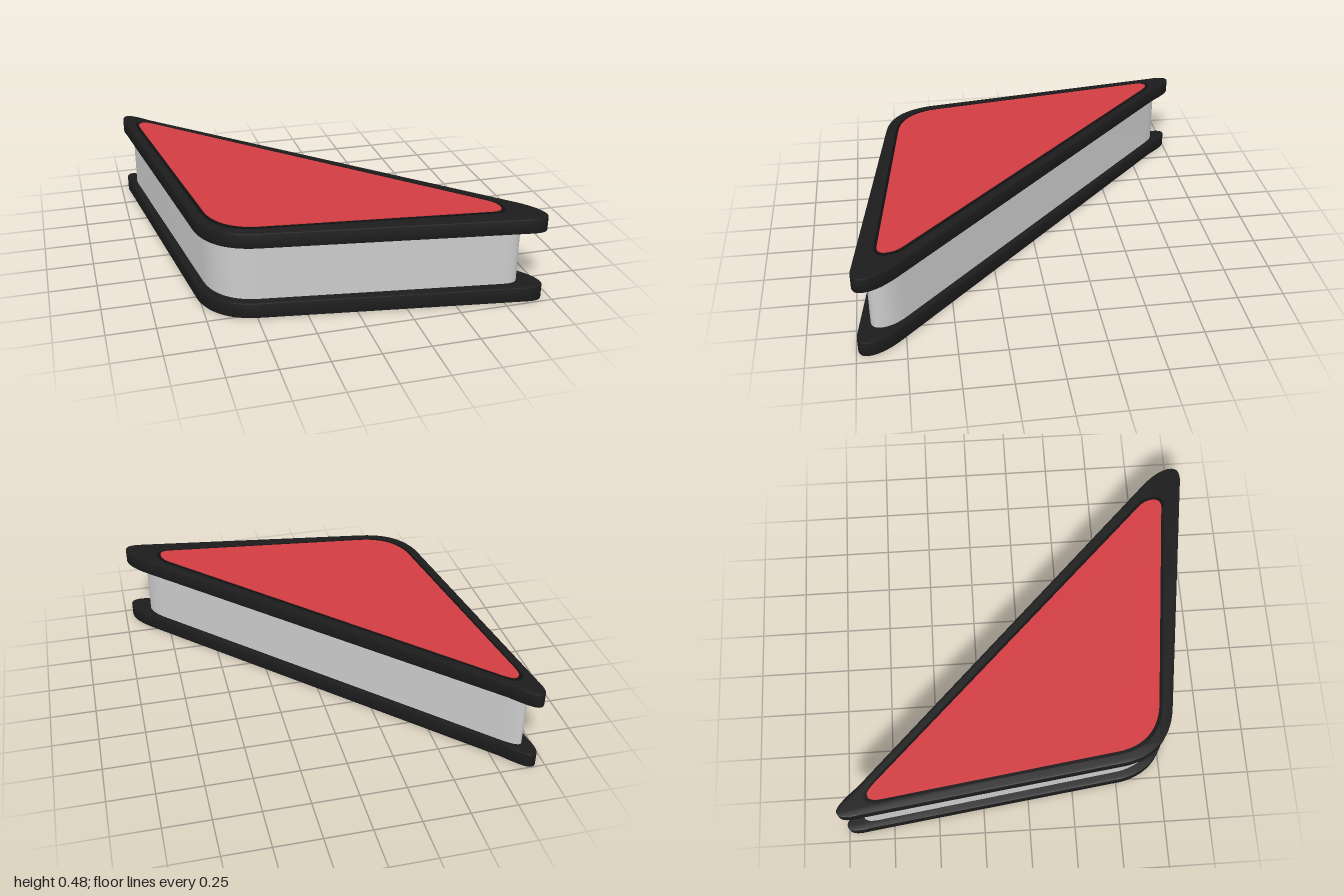
import * as THREE from 'three';
import { toCreasedNormals } from 'three/addons/utils/BufferGeometryUtils.js';

// Rounded triangle outline: [startX, startZ] then quadratic corners joined by straight sides
function outline(corners) {
  const s = new THREE.Shape();
  corners.forEach((c, i) => {
    if (i === 0) s.moveTo(c[0][0], -c[0][1]);
    else s.lineTo(c[0][0], -c[0][1]);
    for (let k = 1; k < c.length; k += 2) {
      s.quadraticCurveTo(c[k][0], -c[k][1], c[k + 1][0], -c[k + 1][1]);
    }
  });
  s.closePath();
  return s;
}

// Upright prism from y0 to y1, with a small edge bevel that stays inside the outline
function slab(name, shape, y0, y1, color, bevel = 0) {
  let geo = new THREE.ExtrudeGeometry(shape, {
    depth: y1 - y0 - 2 * bevel, curveSegments: 14,
    bevelEnabled: bevel > 0, bevelThickness: bevel, bevelSize: bevel,
    bevelOffset: -bevel, bevelSegments: 2,
  });
  geo.rotateX(-Math.PI / 2);
  geo.translate(0, y0 + bevel, 0);
  geo = toCreasedNormals(geo, 0.6);
  const mesh = new THREE.Mesh(geo, new THREE.MeshStandardMaterial({ color }));
  mesh.name = name;
  return mesh;
}

export function createModel() {
  const group = new THREE.Group();
  group.name = 'triangularBlock';

  // Corner order: back tip, right-hand tip, rounded front corner
  const rim = outline([
    [[-0.951, -0.88], [-0.975, -1.0], [-0.922, -1.0], [-0.89, -1.0], [-0.8, -0.887]],
    [[0.85, 0.765], [0.955, 0.87], [0.956, 0.945], [0.955, 1.004], [0.86, 0.988]],
    [[-0.49, 0.79], [-0.715, 0.755], [-0.763, 0.53]],
  ]);
  const core = outline([
    [[-0.906, -0.82], [-0.918, -0.905], [-0.885, -0.905], [-0.86, -0.905], [-0.8, -0.845]],
    [[0.77, 0.735], [0.845, 0.81], [0.845, 0.87], [0.845, 0.932], [0.76, 0.922]],
    [[-0.48, 0.745], [-0.68, 0.715], [-0.72, 0.51]],
  ]);
  const seam = outline([
    [[-0.893, -0.79], [-0.905, -0.86], [-0.85, -0.86], [-0.83, -0.86], [-0.77, -0.8]],
    [[0.73, 0.72], [0.777, 0.77], [0.777, 0.82], [0.777, 0.885], [0.71, 0.878]],
    [[-0.48, 0.735], [-0.68, 0.705], [-0.717, 0.5]],
  ]);
  const panel = outline([
    [[-0.876, -0.77], [-0.884, -0.84], [-0.845, -0.84], [-0.825, -0.84], [-0.77, -0.782]],
    [[0.72, 0.735], [0.757, 0.775], [0.757, 0.82], [0.757, 0.868], [0.7, 0.861]],
    [[-0.47, 0.72], [-0.66, 0.69], [-0.7, 0.5]],
  ]);

  // Black rims above and below the grey core
  group.add(slab('bottomRim', rim, 0, 0.085, 0x1c1c1c, 0.006));
  group.add(slab('core', core, 0.08, 0.395, 0xcccccc));
  group.add(slab('topRim', rim, 0.39, 0.472, 0x1c1c1c, 0.006));

  // Coloured top panel with a dark seam around it
  group.add(slab('panelSeam', seam, 0.46, 0.474, 0x101010));
  group.add(slab('topPanel', panel, 0.46, 0.478, 0xd23c42));

  return group;
}
